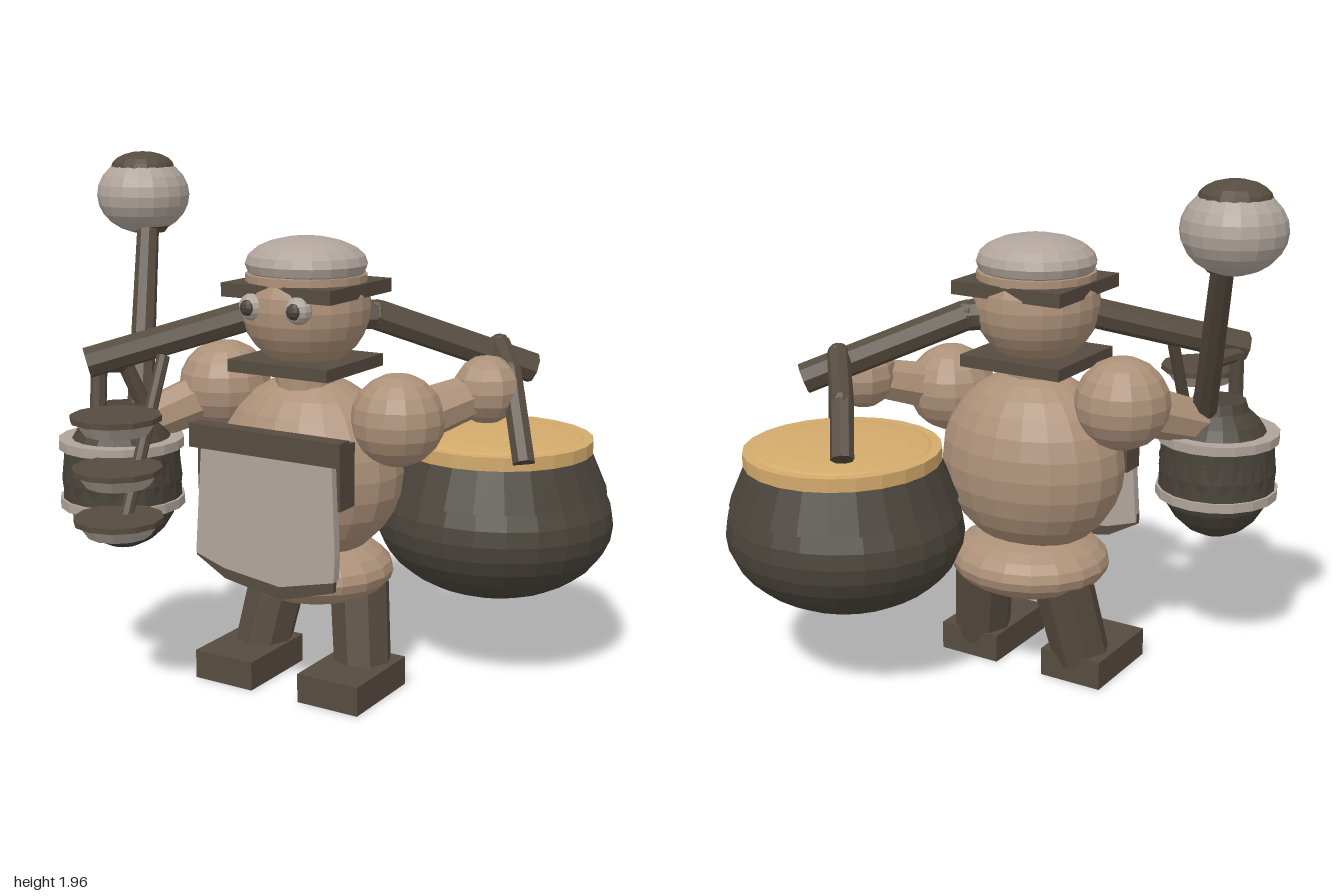
import * as THREE from 'three';

const mat = (name, color) => {
  const m = new THREE.MeshStandardMaterial({ color, flatShading: true });
  m.name = name;
  return m;
};

export function createModel() {
  const wood = mat('dark wood', 0x564b3f);
  const iron = mat('dark iron', 0x49433a);
  const skin = mat('tan skin', 0xad9179);
  const cloth = mat('pale grey', 0xb0a49b);
  const gold = mat('golden broth', 0xd3aa6b);
  const model = new THREE.Group();
  model.name = 'potCarrier';

  const add = (name, geo, m, x = 0, y = 0, z = 0) => {
    const mesh = new THREE.Mesh(geo, m);
    mesh.name = name;
    mesh.position.set(x, y, z);
    model.add(mesh);
    return mesh;
  };
  const ball = (name, m, [x, y, z], [rx, ry, rz], w = 18, h = 12) =>
    add(name, new THREE.SphereGeometry(1, w, h).scale(rx, ry, rz), m, x, y, z);
  const box = (name, m, [x, y, z], [w, h, d]) =>
    add(name, new THREE.BoxGeometry(w, h, d), m, x, y, z);
  const drum = (name, m, [x, y, z], rTop, rBottom, h, sides = 24) =>
    add(name, new THREE.CylinderGeometry(rTop, rBottom, h, sides), m, x, y, z);
  // Tapered rod from a to b
  const rod = (name, m, a, b, ra, rb = ra, sides = 8) => {
    const A = new THREE.Vector3(...a), B = new THREE.Vector3(...b);
    const dir = B.clone().sub(A);
    const mesh = add(name, new THREE.CylinderGeometry(rb, ra, dir.length(), sides), m);
    mesh.position.copy(A).add(B).multiplyScalar(0.5);
    mesh.quaternion.setFromUnitVectors(new THREE.Vector3(0, 1, 0), dir.normalize());
    return mesh;
  };
  // Chain of rods through points
  const chain = (name, m, pts, r) => {
    for (let i = 1; i < pts.length; i++) rod(name, m, pts[i - 1], pts[i], r);
    for (let i = 1; i < pts.length - 1; i++) ball(name + 'Joint', m, pts[i], [r, r, r], 8, 6);
  };

  // Body and legs
  ball('torso', skin, [0.005, 0.83, 0.04], [0.365, 0.35, 0.29], 20, 14);
  ball('hips', skin, [0.005, 0.44, 0.02], [0.312, 0.13, 0.285]);
  drum('neck', skin, [0.005, 1.16, 0.065], 0.115, 0.115, 0.14, 12);
  for (const s of [-1, 1]) {
    rod('leg', wood, [s * 0.225 + 0.005, 0.08, 0.03], [s * 0.165 + 0.005, 0.45, -0.04], 0.11, 0.115);
    box('foot', wood, [s * 0.228 + 0.005, 0.055, 0.115], [0.253, 0.11, 0.36]);
  }

  // Head, eyes, collar and cap
  ball('head', skin, [0.005, 1.43, 0.068], [0.238, 0.225, 0.238], 20, 14);
  box('collar', wood, [0.005, 1.222, 0.07], [0.42, 0.045, 0.4]);
  box('brim', wood, [0.007, 1.498, 0.065], [0.455, 0.05, 0.435]);
  drum('capBand', skin, [0.005, 1.535, 0.066], 0.222, 0.222, 0.03, 20);
  ball('cap', cloth, [0.005, 1.585, 0.066], [0.226, 0.098, 0.215], 20, 10);
  for (const x of [-0.09, 0.104]) {
    ball('eye', cloth, [x, 1.445, 0.275], [0.05, 0.05, 0.045], 12, 8);
    ball('pupil', iron, [x, 1.445, 0.305], [0.03, 0.03, 0.025], 10, 6);
  }

  // Arms
  ball('leftShoulder', skin, [0.385, 1.05, 0.063], [0.17, 0.168, 0.17], 14, 10);
  rod('leftForearm', skin, [0.44, 1.06, 0.0], [0.59, 1.13, -0.22], 0.095, 0.075);
  ball('leftHand', skin, [0.595, 1.135, -0.22], [0.125, 0.125, 0.128], 10, 8);
  ball('rightShoulder', skin, [-0.363, 1.1, 0.058], [0.178, 0.172, 0.175], 14, 10);
  rod('rightForearm', skin, [-0.38, 1.08, 0.08], [-0.55, 0.98, 0.34], 0.1, 0.08);

  // Apron with top bar, hem and side loops
  const panel = (name, m, pts, z, depth) => {
    const shape = new THREE.Shape(pts.map(p => new THREE.Vector2(...p)));
    add(name, new THREE.ExtrudeGeometry(shape, { depth, bevelEnabled: false }), m, 0, 0, z);
  };
  panel('apron', cloth, [[-0.255, 0.95], [-0.285, 0.53], [-0.16, 0.49], [0.08, 0.46],
    [0.305, 0.515], [0.31, 0.6], [0.295, 0.95]], 0.335, 0.035);
  panel('apronHem', wood, [[-0.285, 0.56], [-0.285, 0.52], [-0.16, 0.45], [0.08, 0.41],
    [0.3, 0.475], [0.305, 0.56]], 0.345, 0.02);
  box('apronBar', wood, [0.012, 0.973, 0.342], [0.635, 0.088, 0.065]);
  for (const s of [-1, 1])
    box('apronLoop', wood, [s * 0.277 + 0.01, 0.88, 0.29], [0.05, 0.23, 0.1]);

  // Carrying yoke
  chain('yoke', wood, [[-0.62, 1.235, 0.555], [-0.13, 1.41, 0.12], [0.2, 1.39, -0.11],
    [0.655, 1.175, -0.495]], 0.057);

  // Great pot with broth and arched handle
  const px = 0.54, pz = -0.428;
  ball('potBowl', iron, [px, 0.6, pz], [0.455, 0.3, 0.43], 24, 16);
  drum('potCollar', iron, [px, 0.795, pz], 0.36, 0.425, 0.15);
  drum('brothRim', gold, [px, 0.892, pz], 0.367, 0.367, 0.05);
  ball('brothSurface', gold, [px, 0.91, pz], [0.345, 0.032, 0.345], 24, 8);
  chain('potHandle', wood, [[0.785, 0.9, -0.14], [0.665, 1.2, -0.27], [0.55, 1.265, -0.42],
    [0.39, 1.16, -0.61], [0.31, 0.99, -0.72]], 0.042);

  // Barrel with two pale hoops and a handle
  const bx = -0.585, bz = 0.415;
  ball('barrel', iron, [bx, 0.79, bz], [0.222, 0.27, 0.222]);
  drum('barrelWall', iron, [bx, 0.81, bz], 0.215, 0.222, 0.2, 18);
  for (const y of [0.925, 0.705]) drum('barrelHoop', cloth, [bx, y, bz], 0.232, 0.232, 0.035, 18);
  drum('barrelLid', iron, [bx, 1.03, bz], 0.1, 0.12, 0.06, 14);
  chain('barrelHandle', wood, [[-0.6, 1.0, 0.53], [-0.61, 1.22, 0.5], [-0.57, 1.21, 0.4],
    [-0.52, 0.98, 0.31]], 0.03);

  // Ladle shaft with round head
  rod('ladleShaft', wood, [-0.55, 0.98, 0.35], [-0.775, 1.69, -0.02], 0.05, 0.042);
  drum('ladleFlange', wood, [-0.785, 1.66, -0.04], 0.08, 0.06, 0.025, 10);
  ball('ladleHead', cloth, [-0.82, 1.79, -0.05], [0.182, 0.15, 0.176], 18, 12);
  ball('ladleCap', wood, [-0.82, 1.895, -0.05], [0.125, 0.062, 0.122], 16, 10);

  // Three hanging trays
  rod('trayHanger', wood, [-0.39, 1.26, 0.405], [-0.38, 0.66, 0.68], 0.024);
  for (const y of [1.09, 0.905, 0.725]) {
    drum('trayTop', wood, [-0.376, y, 0.7], 0.16, 0.16, 0.02, 12);
    drum('trayBowl', cloth, [-0.376, y - 0.033, 0.7], 0.145, 0.112, 0.048, 12);
  }
  return model;
}
